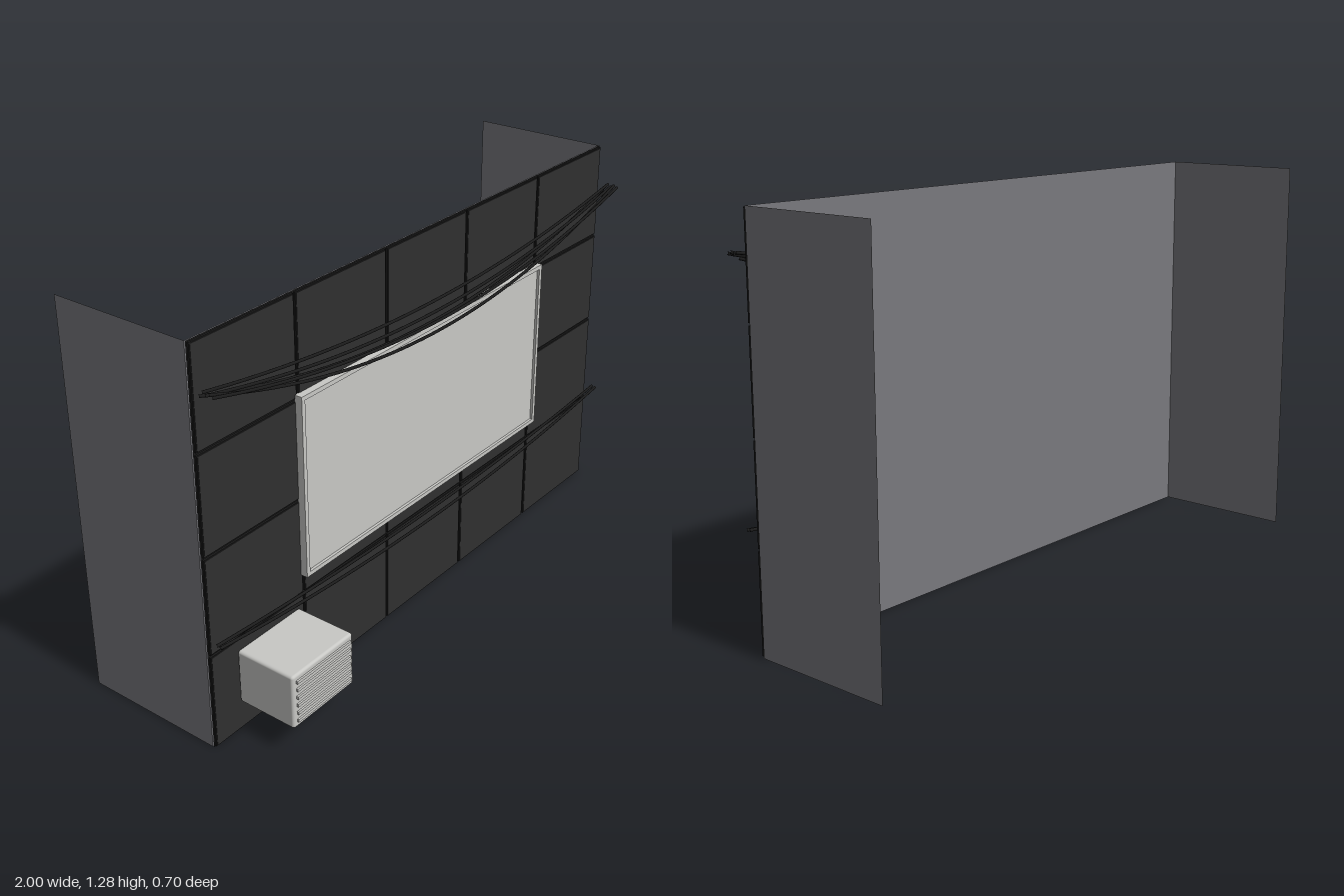
import * as THREE from 'three';
import { RoundedBoxGeometry } from 'three/addons/geometries/RoundedBoxGeometry.js';

const mat = (name, color, side = THREE.FrontSide) => {
  const m = new THREE.MeshStandardMaterial({ color, side });
  m.name = name;
  return m;
};

export function createModel() {
  const wallGray = mat('wallGray', 0x79797e, THREE.DoubleSide);
  const tileDark = mat('tileDark', 0x2f2f2f);
  const black = mat('black', 0x1b1b1b);
  const lightGray = mat('lightGray', 0xc8c8c5);
  const model = new THREE.Group();
  model.name = 'wallSection';

  const add = (name, geo, material, x, y, z, parent = model) => {
    const mesh = new THREE.Mesh(geo, material);
    mesh.name = name;
    mesh.position.set(x, y, z);
    parent.add(mesh);
    return mesh;
  };
  const box = (name, w, h, d, material, x, y, z, parent) =>
    add(name, new THREE.BoxGeometry(w, h, d), material, x, y, z, parent);

  const H = 1.28, wallZ = 0.127, backZ = -0.35;

  // Thin open shell: main wall and two return walls
  add('mainWall', new THREE.PlaneGeometry(2, H), wallGray, 0, H / 2, wallZ);
  for (const s of [-1, 1]) {
    const side = add(s > 0 ? 'leftWall' : 'rightWall', new THREE.PlaneGeometry(wallZ - backZ, H),
      wallGray, s, H / 2, (wallZ + backZ) / 2);
    side.rotation.y = s * Math.PI / 2;
  }

  // Dark seams between the cladding tiles
  add('seams', new THREE.PlaneGeometry(2, H), black, 0, H / 2, wallZ + 0.004);

  // Cladding tiles, five columns by four rows: black rim with a dark face plate
  const tiles = new THREE.Group();
  tiles.name = 'tiles';
  model.add(tiles);
  const rimGeo = new THREE.BoxGeometry(0.392, 0.312, 0.006);
  const faceGeo = new THREE.BoxGeometry(0.385, 0.305, 0.002);
  for (let c = 0; c < 5; c++) {
    for (let r = 0; r < 4; r++) {
      const x = -0.8 + c * 0.4, y = 0.16 + r * 0.32;
      add('tileRim', rimGeo, black, x, y, wallZ + 0.008, tiles);
      add('tileFace', faceGeo, tileDark, x, y, wallZ + 0.0115, tiles);
    }
  }

  // Display panel, recessed in a slim frame
  const screen = new THREE.Group();
  screen.name = 'screen';
  model.add(screen);
  const sw = 1.222, sh = 0.59, sy = 0.681, t = 0.014;
  box('screenPanel', sw - 2 * t, sh - 2 * t, 0.016, lightGray, 0, sy, 0.146, screen);
  for (const s of [-1, 1]) {
    box('frameSide', t, sh, 0.027, lightGray, s * (sw - t) / 2, sy, 0.1495, screen);
    box('frameRail', sw - 2 * t, t, 0.027, lightGray, 0, sy + s * (sh - t) / 2, 0.1495, screen);
  }

  // Sagging cables: [end height, lowest height, z]
  const cables = [
    [1.137, 0.988, 0.163], [1.151, 1.062, 0.175], [1.145, 1.033, 0.186],
    [1.151, 0.974, 0.198], [1.146, 1.016, 0.21],
    [0.372, 0.33, 0.168], [0.37, 0.307, 0.181],
  ];
  for (const [end, low, z] of cables) {
    const points = [];
    for (let i = 0; i <= 16; i++) {
      const x = -1 + i / 8;
      points.push(new THREE.Vector3(x, low + (end - low) * x * x, z));
    }
    add('cable', new THREE.TubeGeometry(new THREE.CatmullRomCurve3(points), 40, 0.0048, 8),
      black, 0, 0, 0);
  }

  // Ventilation unit with front slats
  const unit = new THREE.Group();
  unit.name = 'ventUnit';
  model.add(unit);
  add('ventBody', new RoundedBoxGeometry(0.265, 0.18, 0.206, 2, 0.009), lightGray,
    -0.76, 0.191, 0.242, unit);
  for (let i = 0; i < 6; i++) {
    box('ventSlat', 0.235, 0.01, 0.008, lightGray, -0.76, 0.125 + i * 0.0266, 0.347, unit);
  }

  return model;
}
